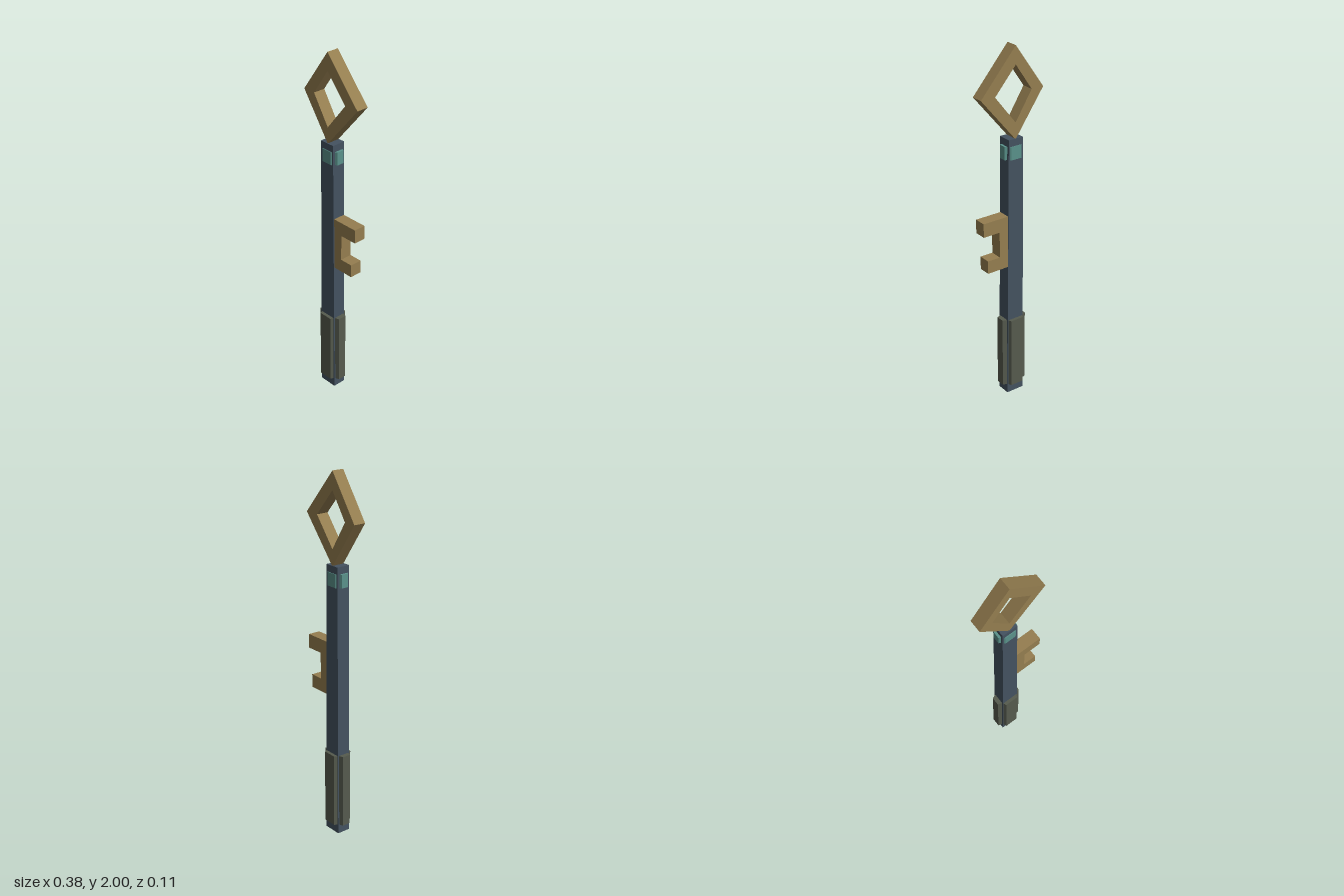
import * as THREE from 'three';

const CX = -0.02; // axis of the shaft

function material(name, color) {
  const m = new THREE.MeshStandardMaterial({ color });
  m.name = name;
  return m;
}

function shapeOf(points) {
  return new THREE.Shape(points.map(([x, y]) => new THREE.Vector2(x, y)));
}

// Upright bevelled panel whose cross-section narrows from base to outer face
function panel(baseHalf, outerHalf, baseDist, outerDist, y0, y1) {
  const section = shapeOf([
    [-baseHalf, baseDist], [baseHalf, baseDist], [outerHalf, outerDist], [-outerHalf, outerDist],
  ]);
  const g = new THREE.ExtrudeGeometry(section, { depth: y1 - y0, bevelEnabled: false });
  g.rotateX(-Math.PI / 2);
  g.translate(0, y0, 0);
  return g;
}

export function createModel() {
  const model = new THREE.Group();
  model.name = 'key';
  const gold = material('dull gold', 0x957e50);
  const steel = material('blue steel', 0x445260);
  const olive = material('olive grip', 0x565b4e);
  const teal = material('teal inlay', 0x5a928b);

  const add = (name, geometry, mat, x = 0) => {
    const mesh = new THREE.Mesh(geometry, mat);
    mesh.name = name;
    mesh.position.x = x;
    model.add(mesh);
    return mesh;
  };

  // Shaft: square bar, slightly narrower at the top
  const shaft = new THREE.BoxGeometry(0.106, 1.52, 0.076);
  shaft.translate(0, 0.76, 0);
  const p = shaft.attributes.position;
  for (let i = 0; i < p.count; i++) {
    if (p.getY(i) > 1) p.setX(i, p.getX(i) * 0.83);
  }
  shaft.computeVertexNormals();
  add('shaft', shaft, steel, CX);

  // Grip panels and inlays on all four sides
  for (let i = 0; i < 4; i++) {
    const onSide = i % 2 === 1;
    const grip = onSide
      ? panel(0.033, 0.024, 0.045, 0.075, 0.053, 0.472)
      : panel(0.048, 0.039, 0.034, 0.056, 0.053, 0.472);
    const inlay = onSide
      ? panel(0.027, 0.02, 0.04, 0.057, 1.41, 1.482)
      : panel(0.04, 0.031, 0.034, 0.042, 1.41, 1.482);
    add('gripPanel', grip, olive, CX).rotation.y = i * Math.PI / 2;
    add('inlay', inlay, teal, CX).rotation.y = i * Math.PI / 2;
  }

  // Bow: diamond frame
  const bow = shapeOf([[CX, 1.515], [0.188, 1.76], [CX, 2], [-0.19, 1.76]]);
  bow.holes.push(new THREE.Path([[CX, 1.605], [-0.118, 1.76], [CX, 1.903], [0.104, 1.76]]
    .map(([x, y]) => new THREE.Vector2(x, y))));
  // Bit: stem with a long upper and a short lower tooth
  const bit = shapeOf([
    [0.015, 0.802], [0.155, 0.802], [0.155, 0.875], [0.08, 0.875],
    [0.08, 1.021], [0.18, 1.021], [0.18, 1.098], [0.015, 1.098],
  ]);
  for (const [name, shape] of [['bow', bow], ['bit', bit]]) {
    const g = new THREE.ExtrudeGeometry(shape, { depth: 0.068, bevelEnabled: false });
    g.translate(0, 0, -0.035);
    add(name, g, gold);
  }

  return model;
}
